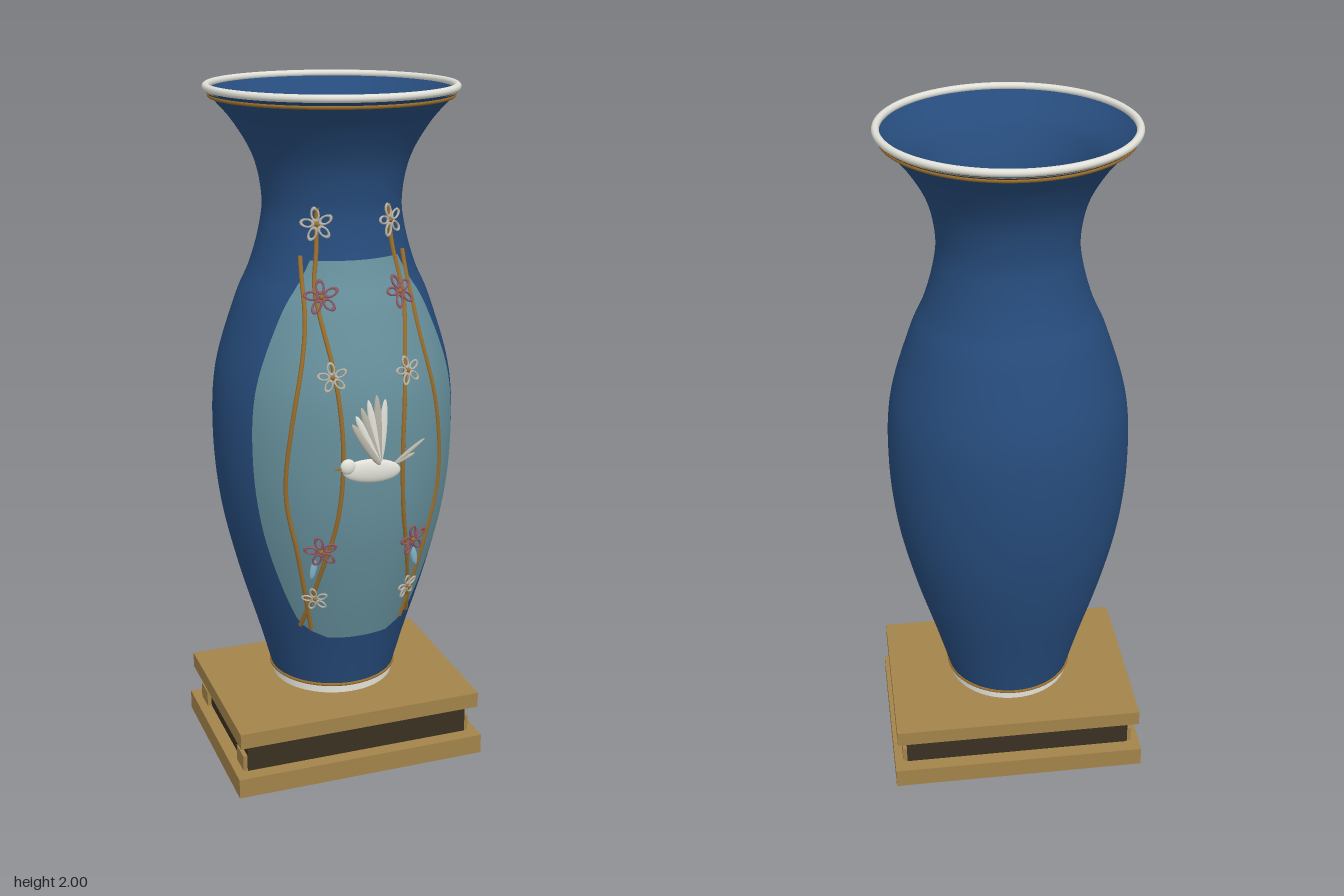
import * as THREE from 'three';

const mat = (name, color, side = THREE.FrontSide) => {
  const m = new THREE.MeshStandardMaterial({ color, side });
  m.name = name;
  return m;
};

export function createModel() {
  const blue = mat('cobalt glaze', 0x264b7b, THREE.DoubleSide);
  const teal = mat('teal panel', 0x66909c, THREE.DoubleSide);
  const white = mat('porcelain white', 0xe2e2da, THREE.DoubleSide);
  const gold = mat('gold trim', 0x9a6e2c);
  const wood = mat('light wood', 0xa3834a);
  const dark = mat('dark wood', 0x3a3022);
  const rose = mat('rose petal', 0x8f5a66);
  const pale = mat('pale petal', 0xb9b5a8);
  const leafBlue = mat('leaf blue', 0x7fb0c4);

  const root = new THREE.Group();
  root.name = 'vaseOnStand';
  const add = (parent, name, geo, material, x = 0, y = 0, z = 0) => {
    const m = new THREE.Mesh(geo, material);
    m.name = name;
    m.position.set(x, y, z);
    parent.add(m);
    return m;
  };

  // Stand
  const stand = new THREE.Group();
  stand.name = 'stand';
  stand.position.z = -0.01;
  root.add(stand);
  const box = (name, w, y0, y1, d, m, x = 0, z = 0) =>
    add(stand, name, new THREE.BoxGeometry(w, y1 - y0, d), m, x, (y0 + y1) / 2, z);
  box('standBase', 0.766, 0, 0.06, 0.565, wood);
  box('standWaist', 0.69, 0.06, 0.155, 0.482, dark);
  box('standTop', 0.747, 0.153, 0.2, 0.542, wood);
  for (const sx of [-1, 1]) for (const sz of [-1, 1])
    box('cornerBlock', 0.065, 0.058, 0.108, 0.07, wood, sx * 0.325, sz * 0.202);

  // Vase body: outer profile as (radius, height)
  const vase = new THREE.Group();
  vase.name = 'vase';
  vase.position.z = -0.012;
  root.add(vase);
  const outer = new THREE.SplineCurve([
    [0.186, 0.255], [0.198, 0.3], [0.226, 0.4], [0.285, 0.6], [0.33, 0.8], [0.348, 1.0],
    [0.337, 1.2], [0.278, 1.4], [0.235, 1.5], [0.206, 1.6], [0.196, 1.69], [0.218, 1.8],
    [0.275, 1.9], [0.342, 1.975],
  ].map(([r, y]) => new THREE.Vector2(r, y))).getPoints(100);
  const radiusAt = (y) => {
    const i = Math.max(1, outer.findIndex((p) => p.y >= y));
    const a = outer[i - 1], b = outer[i];
    return a.x + (b.x - a.x) * (y - a.y) / (b.y - a.y);
  };
  add(vase, 'vaseBody', new THREE.LatheGeometry(outer, 96), blue);
  const inner = outer.map((p) => new THREE.Vector2(p.x - 0.032 + 0.028 * THREE.MathUtils.smoothstep(p.y, 1.9, 1.975), p.y + 0.012));
  add(vase, 'vaseInterior', new THREE.LatheGeometry(inner.reverse(), 96), blue);
  const floor = add(vase, 'vaseFloor', new THREE.CircleGeometry(0.158, 64), white, 0, 0.268, 0);
  floor.rotation.x = -Math.PI / 2;
  add(vase, 'footRing', new THREE.CylinderGeometry(0.183, 0.183, 0.026, 64), white, 0, 0.242, 0);
  const ring = (name, r, tube, y, m) => {
    add(vase, name, new THREE.TorusGeometry(r, tube, 10, 96), m, 0, y, 0).rotation.x = Math.PI / 2;
  };
  ring('footTrim', 0.187, 0.005, 0.258, gold);
  ring('rimTrim', 0.334, 0.006, 1.967, gold);
  ring('lipRing', 0.343, 0.0105, 1.9895, white);

  // Point on the front of the body, lifted off its surface
  const onFront = (x, y, lift = 0) => {
    const r = radiusAt(y);
    const t = Math.asin(x / r);
    return new THREE.Vector3(Math.sin(t) * (r + lift), y, Math.cos(t) * (r + lift));
  };

  // Painted front panel following the body
  const rows = 56, cols = 32, pos = [], idx = [];
  for (let j = 0; j <= rows; j++) {
    const y = 0.44 + 1.11 * j / rows;
    const r = radiusAt(y);
    const cut = 0.18 + 0.01 * (1.55 - y) + 0.03 * Math.max(0, 1 - (y - 0.44) / 0.07) ** 2;
    const half = Math.acos(Math.min(1, cut / r));
    for (let i = 0; i <= cols; i++) {
      const t = half * (2 * i / cols - 1);
      pos.push(Math.sin(t) * (r + 0.003), y, Math.cos(t) * (r + 0.003));
      if (i < cols && j < rows) {
        const a = j * (cols + 1) + i, b = a + cols + 1;
        idx.push(a, a + 1, b, a + 1, b + 1, b);
      }
    }
  }
  const panel = new THREE.BufferGeometry();
  panel.setAttribute('position', new THREE.Float32BufferAttribute(pos, 3));
  panel.setIndex(idx);
  panel.computeVertexNormals();
  add(vase, 'frontPanel', panel, teal);

  // Blossom branches on both sides
  const innerBranch = [[0.1, 1.69], [0.107, 1.58], [0.123, 1.45], [0.1, 1.26], [0.086, 1.05], [0.095, 0.86], [0.128, 0.68], [0.162, 0.48]];
  const outerBranch = [[0.145, 1.56], [0.16, 1.37], [0.208, 1.13], [0.224, 0.92], [0.187, 0.72], [0.135, 0.47]];
  const blossoms = [[0.1, 1.645, 1, pale], [0.108, 1.46, 1.05, rose], [0.105, 1.257, 0.9, pale], [0.133, 0.75, 1.05, rose], [0.135, 0.585, 0.85, pale]];
  const petal = new THREE.TorusGeometry(0.0125, 0.0035, 6, 14);
  for (const s of [-1, 1]) {
    for (const path of [innerBranch, outerBranch]) {
      const guide = new THREE.SplineCurve(path.map(([x, y]) => new THREE.Vector2(s * x, y)));
      const curve = new THREE.CatmullRomCurve3(guide.getPoints(30).map((p) => onFront(p.x, p.y, 0.004)));
      add(vase, 'branch', new THREE.TubeGeometry(curve, 80, 0.0065, 8), gold);
    }
    for (const [x, y, size, m] of blossoms) {
      const flower = new THREE.Group();
      flower.name = 'blossom';
      flower.position.copy(onFront(s * x, y, 0.011));
      const slope = (radiusAt(y + 0.02) - radiusAt(y - 0.02)) / 0.04;
      flower.rotation.set(Math.atan(slope), Math.asin(x * s / radiusAt(y)), 0, 'YXZ');
      flower.scale.setScalar(size);
      vase.add(flower);
      for (let k = 0; k < 5; k++) {
        const a = Math.PI / 2 + k * Math.PI * 0.4 + 0.2;
        const p = add(flower, 'petal', petal, m, Math.cos(a) * 0.027, Math.sin(a) * 0.027, 0);
        p.rotation.z = a;
        p.scale.set(1.35, 0.8, 1);
      }
      add(flower, 'blossomCentre', new THREE.SphereGeometry(0.007, 10, 8), gold);
    }
    const leaf = add(vase, 'leaf', new THREE.SphereGeometry(1, 14, 10), leafBlue);
    leaf.position.copy(onFront(s * 0.148, 0.69, 0.008));
    leaf.scale.set(0.01, 0.032, 0.006);
    leaf.rotation.z = s * 0.2;
  }

  // Bird in relief
  const bird = new THREE.Group();
  bird.name = 'bird';
  bird.position.set(0, 1, 0.357);
  vase.add(bird);
  const blob = (name, x, y, z, sx, sy, sz, rot = 0, m = white) => {
    const b = add(bird, name, new THREE.SphereGeometry(1, 20, 14), m, x, y, z);
    b.scale.set(sx, sy, sz);
    b.rotation.z = rot;
    return b;
  };
  blob('birdBody', -0.01, -0.005, 0, 0.085, 0.034, 0.013, -0.08);
  blob('birdHead', -0.08, 0.015, 0.002, 0.022, 0.022, 0.012);
  const beak = add(bird, 'beak', new THREE.ConeGeometry(0.006, 0.035, 8), gold, -0.11, 0.012, 0.002);
  beak.rotation.z = Math.PI / 2;
  // Wing feathers fan up from the shoulder, tail feathers trail behind
  for (let k = 0; k < 6; k++) {
    const a = 1.5 + k * 0.13;
    const len = 0.205 - Math.abs(k - 1.2) * 0.014;
    blob('wingFeather', 0.012 + Math.cos(a) * len / 2, 0.01 + Math.sin(a) * len / 2, 0.004 + k * 0.001, len / 2, 0.012, 0.006, a, k % 2 ? pale : white);
  }
  for (const [a, len] of [[0.62, 0.115], [0.4, 0.07]])
    blob('tailFeather', 0.055 + Math.cos(a) * len / 2, 0.002 + Math.sin(a) * len / 2, -0.008, len / 2, 0.006, 0.005, a, pale);

  return root;
}
